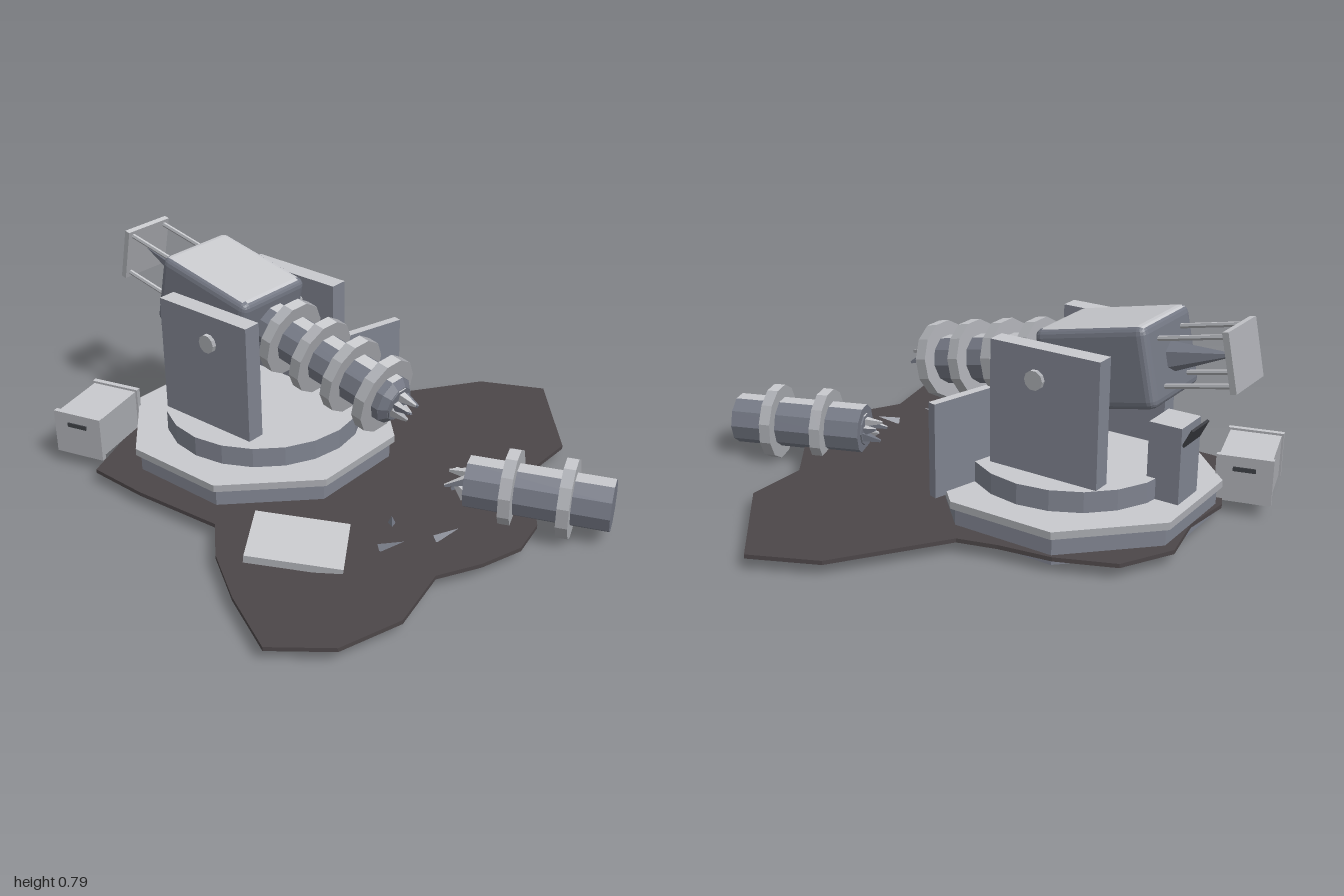
import * as THREE from 'three';
import { RoundedBoxGeometry } from 'three/addons/geometries/RoundedBoxGeometry.js';

const mat = (name, color) => {
  const m = new THREE.MeshStandardMaterial({ color, flatShading: true });
  m.name = name;
  return m;
};

// give every upward facing triangle of a mesh the top material
function coatTop(mesh, topMaterial) {
  const geo = mesh.geometry.index ? mesh.geometry.toNonIndexed() : mesh.geometry;
  geo.clearGroups();
  const pos = geo.attributes.position;
  const tri = new THREE.Triangle();
  const n = new THREE.Vector3();
  for (let i = 0; i < pos.count; i += 3) {
    tri.setFromAttributeAndIndices(pos, i, i + 1, i + 2);
    tri.getNormal(n).transformDirection(mesh.matrixWorld);
    const slot = n.y > 0.9 ? 1 : 0;
    const last = geo.groups[geo.groups.length - 1];
    if (last && last.materialIndex === slot) last.count += 3;
    else geo.addGroup(i, 3, slot);
  }
  mesh.geometry = geo;
  mesh.material = [mesh.material, topMaterial];
}

export function createModel() {
  const steel = mat('blue grey steel', 0x7e828e);
  const gunmetal = mat('gunmetal', 0x727682);
  const pale = mat('pale metal', 0xa8aaaf);
  const light = mat('light worn tops', 0xc8c9cd);
  const dark = mat('dark metal', 0x3c3e43);
  const soil = mat('scorched soil', 0x4c4648);
  const model = new THREE.Group();
  model.name = 'brokenCannonEmplacement';

  const add = (parent, name, geo, material, x = 0, y = 0, z = 0) => {
    const m = new THREE.Mesh(geo, material);
    m.name = name;
    m.position.set(x, y, z);
    parent.add(m);
    return m;
  };
  const group = (parent, name, x, y, z) => {
    const g = new THREE.Group();
    g.name = name;
    g.position.set(x, y, z);
    g.rotation.order = 'YXZ';
    parent.add(g);
    return g;
  };
  const box = (w, h, d) => new THREE.BoxGeometry(w, h, d);
  // cylinder lying along z, r1 at the +z end, flat facet on top for even n
  const rod = (r1, r2, len, n) =>
    new THREE.CylinderGeometry(r1, r2, len, n).rotateY(Math.PI / n).rotateX(Math.PI / 2);

  // scorched ground patch
  const outline = [
    [-0.98, 0.47], [-0.84, 0.65], [-0.61, 0.72], [-0.36, 0.665], [-0.21, 0.745], [-0.05, 0.795],
    [0.1, 0.765], [0.38, 0.555], [0.62, 0.555], [0.97, 0.255], [0.86, 0.02], [0.49, -0.24],
    [0.45, -0.38], [0.42, -0.57], [0.335, -0.77], [0.15, -0.87], [-0.05, -0.83], [-0.25, -0.85],
    [-0.4, -0.78], [-0.62, -0.69], [-0.625, -0.45], [-0.6, -0.1], [-0.73, 0.03], [-0.86, 0.23],
  ];
  const patch = new THREE.Shape(outline.map(([x, z]) => new THREE.Vector2(x, -z)));
  const patchGeo = new THREE.ExtrudeGeometry(patch, { depth: 0.015, bevelEnabled: false });
  add(model, 'groundPatch', patchGeo.rotateX(-Math.PI / 2), soil, 0, 0.05, 0);

  // octagonal platform and turntable
  const CX = -0.05, CZ = -0.37;
  const octagon = (r, h) => new THREE.CylinderGeometry(r, r, h, 8).rotateY(Math.PI / 8);
  add(model, 'platformBase', octagon(0.498, 0.1), steel, CX, 0.08, CZ);
  add(model, 'platformSlab', octagon(0.517, 0.027), pale, CX, 0.143, CZ);
  add(model, 'turntable', new THREE.CylinderGeometry(0.37, 0.37, 0.08, 20), steel, CX, 0.192, CZ + 0.005);

  // side supports and axle
  for (const s of [-1, 1]) {
    add(model, 'sideSupport', box(0.068, 0.45, 0.42), steel, CX + s * 0.235, 0.452, -0.4);
  }
  add(model, 'axle', new THREE.CylinderGeometry(0.035, 0.035, 0.57, 10).rotateZ(Math.PI / 2), pale, CX, 0.57, CZ);

  // jagged chunks bursting from a broken barrel end
  const brokenEnd = (parent, z, dir) => {
    add(parent, 'brokenBore', rod(0.062, 0.062, 0.008, 10), gunmetal, 0, 0, z);
    for (let i = 0; i < 5; i++) {
      const a = i * 1.26 + 0.3, r = 0.032;
      const shard = add(parent, 'brokenShard', rod(0.006, 0.026, 0.07 + 0.02 * (i % 3), 4), i % 2 ? pale : gunmetal,
        Math.cos(a) * r, Math.sin(a) * r, z + dir * 0.022);
      shard.rotation.set((dir < 0 ? Math.PI : 0) + Math.sin(a * 2) * 0.5, Math.cos(a * 3) * 0.5, 0);
    }
  };

  // tilted gun, +z is the muzzle direction
  const gun = group(model, 'gun', CX, 0.57, CZ);
  gun.rotation.x = 0.21;
  add(gun, 'breechHousing', new RoundedBoxGeometry(0.33, 0.28, 0.425, 2, 0.03), gunmetal, 0, 0, -0.155);
  add(gun, 'barrel', rod(0.09, 0.09, 0.62, 10), gunmetal, 0, 0, 0.32);
  add(gun, 'muzzleTaper', rod(0.065, 0.09, 0.025, 10), gunmetal, 0, 0, 0.642);
  for (let i = 0; i < 4; i++) {
    add(gun, 'barrelRing', rod(0.143, 0.143, 0.042, 12), pale, 0, 0, 0.147 + i * 0.145);
  }
  brokenEnd(gun, 0.655, 1);
  add(gun, 'rearSpike', rod(0.055, 0, 0.25, 6).rotateZ(Math.PI / 6), gunmetal, 0, 0, -0.48);
  for (const x of [-0.08, 0.08]) {
    for (const y of [-0.08, 0.08]) {
      add(gun, 'rearRod', rod(0.009, 0.009, 0.27, 6), pale, x, y, -0.487);
    }
  }
  add(gun, 'rearPlate', box(0.207, 0.2, 0.022), pale, 0, 0, -0.615);

  // shield panel standing on the platform edge
  const shield = add(model, 'shieldPanel', box(0.25, 0.34, 0.032), steel, 0.292, 0.315, -0.12);
  shield.rotation.y = -0.26;

  // rear console with tilted screen
  add(model, 'console', box(0.14, 0.29, 0.12), steel, CX, 0.285, -0.75);
  const screen = add(model, 'consoleScreen', box(0.12, 0.07, 0.009), dark, CX, 0.395, -0.826);
  screen.rotation.x = -0.45;

  // supply crate
  const crate = group(model, 'crate', -0.448, 0.144, -0.86);
  crate.rotation.y = 0.27;
  add(crate, 'crateBody', box(0.26, 0.155, 0.185), pale);
  for (const s of [-1, 1]) {
    add(crate, 'crateRim', box(0.02, 0.172, 0.2), pale, s * 0.13, 0, 0);
    add(crate, 'crateHandle', box(0.006, 0.016, 0.08), dark, s * 0.142, 0.04, 0);
  }

  // torn off plate on the ground
  const plate = add(model, 'loosePlate', box(0.255, 0.028, 0.33), pale, -0.53, 0.09, 0.22);
  plate.rotation.order = 'YXZ';
  plate.rotation.set(0.11, 0.595, 0.03);

  // broken barrel lying on the ground
  const fallen = group(model, 'fallenBarrel', 0.17, 0.143, 0.725);
  fallen.rotation.y = 0.37;
  add(fallen, 'fallenTube', rod(0.095, 0.095, 0.51, 10), gunmetal);
  for (const z of [-0.1, 0.1]) {
    add(fallen, 'fallenRing', rod(0.143, 0.143, 0.042, 12), pale, 0, 0, z);
  }
  brokenEnd(fallen, -0.257, -1);

  // scattered shards
  for (const [x, z, yaw] of [[-0.335, 0.465, 0.6], [-0.235, 0.39, -0.9], [-0.165, 0.57, 0.9]]) {
    const shard = add(model, 'groundShard', rod(0, 0.016, 0.09, 3), gunmetal, x, 0.085, z);
    shard.rotation.order = 'YXZ';
    shard.rotation.set(-0.35, yaw, 0);
  }

  // light worn coat on upward faces of all metal parts
  model.updateMatrixWorld(true);
  model.traverse((o) => {
    if (o.isMesh && o.material !== soil && o.material !== dark) coatTop(o, light);
  });
  return model;
}
